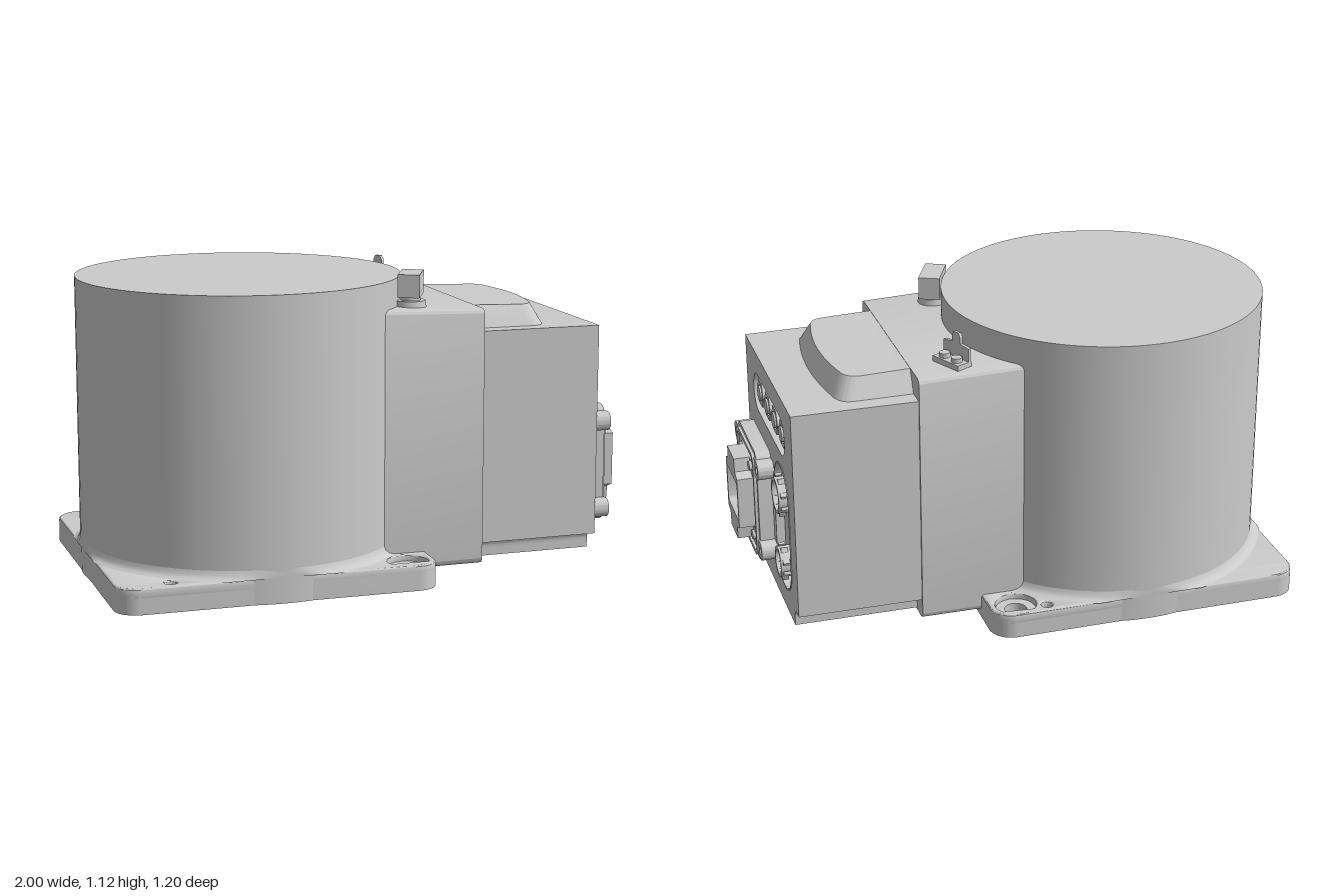
import * as THREE from 'three';
import { toCreasedNormals } from 'three/addons/utils/BufferGeometryUtils.js';

const mat = new THREE.MeshStandardMaterial({ color: 0xcccccc, side: THREE.DoubleSide });

// Rounded rectangle outline centred on (cx, cy)
function roundRect(cx, cy, w, h, r, Type = THREE.Shape) {
  const s = new Type(), a = w / 2 - r, b = h / 2 - r;
  s.absarc(cx + a, cy + b, r, 0, Math.PI / 2);
  s.absarc(cx - a, cy + b, r, Math.PI / 2, Math.PI);
  s.absarc(cx - a, cy - b, r, Math.PI, Math.PI * 1.5);
  s.absarc(cx + a, cy - b, r, Math.PI * 1.5, Math.PI * 2);
  s.closePath();
  return s;
}
function circle(cx, cy, r, Type = THREE.Path) {
  return new Type().absarc(cx, cy, r, 0, Math.PI * 2);
}
const polygon = (pts) => new THREE.Shape(pts.map(([x, y]) => new THREE.Vector2(x, y)));

export function createModel() {
  const model = new THREE.Group();
  const add = (geo, name, parent = model) => {
    const mesh = new THREE.Mesh(geo, mat);
    mesh.name = name;
    parent.add(mesh);
    return mesh;
  };
  const extrude = (shape, depth, bevel = 0) => {
    const g = new THREE.ExtrudeGeometry(shape, {
      depth: depth - 2 * bevel, bevelEnabled: bevel > 0, bevelSize: bevel,
      bevelThickness: bevel, bevelOffset: -bevel, bevelSegments: 3, curveSegments: 14,
    });
    return g.translate(0, 0, bevel);
  };
  // Section drawn in (-z, y), extruded along x
  const alongX = (shape, x0, x1, bevel = 0) =>
    toCreasedNormals(extrude(shape, x1 - x0, bevel).rotateY(Math.PI / 2).translate(x0, 0, 0), 0.5);
  // Outline drawn in (x, -z), extruded upward
  const alongY = (shape, y0, y1, bevel = 0) =>
    toCreasedNormals(extrude(shape, y1 - y0, bevel).rotateX(-Math.PI / 2).translate(0, y0, 0), 0.5);
  // Slight draft of the housing toward its end
  const draft = (geo) => {
    const p = geo.attributes.position;
    for (let i = 0; i < p.count; i++) {
      const x = p.getX(i);
      p.setZ(i, p.getZ(i) * (1 - (x - 0.42) * 0.035));
      if (x < 0.42 && p.getY(i) > 0.5) p.setY(i, p.getY(i) + (0.42 - x) * 0.03);
    }
    return geo;
  };

  // Motor drum
  add(new THREE.CylinderGeometry(0.6, 0.6, 1.1, 96).translate(-0.4, 0.55, 0), 'drum');

  // Base plate: through holes below, counterbores above
  const bolts = [[-0.9, 0.505], [-0.9, -0.505], [0.093, 0.505], [0.093, -0.505]];
  const pins = [[-0.795, -0.535], [-0.015, 0.545]];
  const plate = (boltRadius) => {
    const s = roundRect(-0.4, 0, 1.19, 1.18, 0.085);
    bolts.forEach(([x, y]) => s.holes.push(circle(x, y, boltRadius)));
    pins.forEach(([x, y]) => s.holes.push(circle(x, y, 0.021)));
    return s;
  };
  add(alongY(plate(0.041), 0, 0.07), 'basePlate');
  add(alongY(plate(0.075), 0.05, 0.095, 0.01), 'basePlateTop');

  // Fillet where drum meets plate, trimmed to the plate edge
  const fillet = new THREE.LatheGeometry(
    [[0.635, 0.094], [0.615, 0.1], [0.604, 0.112], [0.599, 0.13]].map(([x, y]) => new THREE.Vector2(x, y)), 96);
  const fp = fillet.attributes.position;
  for (let i = 0; i < fp.count; i++) {
    fp.setX(i, Math.max(fp.getX(i), -0.6));
    fp.setZ(i, THREE.MathUtils.clamp(fp.getZ(i), -0.6, 0.6));
  }
  fillet.translate(-0.4, 0, 0).computeVertexNormals();
  add(fillet, 'drumFillet');

  // Housing neck next to the drum
  add(draft(alongX(roundRect(0, 0.507, 0.816, 0.957, 0.025), -0.1, 0.42)), 'housingNeck');

  // Housing end with notched lower corners
  const section = () => {
    const s = new THREE.Shape();
    s.moveTo(0.4, 0.902);
    s.lineTo(-0.4, 0.902);
    s.lineTo(-0.4, 0.106);
    s.lineTo(-0.37, 0.106);
    s.quadraticCurveTo(-0.33, 0.106, -0.33, 0.066);
    s.lineTo(-0.33, 0.037);
    s.lineTo(0.33, 0.037);
    s.lineTo(0.33, 0.066);
    s.quadraticCurveTo(0.33, 0.106, 0.37, 0.106);
    s.lineTo(0.4, 0.106);
    s.closePath();
    return s;
  };
  add(draft(alongX(section(), 0.4, 0.85)), 'housingEnd');
  const face = section();
  face.holes.push(roundRect(0, 0.745, 0.545, 0.15, 0.0745, THREE.Path));
  face.holes.push(roundRect(0.178, 0.37, 0.235, 0.49, 0.117, THREE.Path));
  add(draft(alongX(face, 0.85, 0.88)), 'housingFace');
  const lip = roundRect(0.178, 0.37, 0.247, 0.502, 0.123);
  lip.holes.push(roundRect(0.178, 0.37, 0.235, 0.49, 0.117, THREE.Path));
  add(alongX(lip, 0.86, 0.883), 'socketPocketLip');

  // Raised hump on top with sloping sides
  const hump = new THREE.Shape();
  hump.moveTo(0.41, -0.335);
  hump.lineTo(0.64, -0.335);
  hump.quadraticCurveTo(0.695, -0.335, 0.705, -0.26);
  hump.quadraticCurveTo(0.755, 0, 0.705, 0.26);
  hump.quadraticCurveTo(0.695, 0.335, 0.64, 0.335);
  hump.lineTo(0.41, 0.335);
  hump.closePath();
  const humpGeo = alongY(hump, 0.895, 0.984);
  const hp = humpGeo.attributes.position;
  for (let i = 0; i < hp.count; i++) {
    if (hp.getY(i) < 0.95) continue;
    hp.setZ(i, hp.getZ(i) * 0.86);
    if (hp.getX(i) > 0.5) hp.setXYZ(i, hp.getX(i) - 0.04, 0.978, hp.getZ(i));
  }
  add(toCreasedNormals(humpGeo, 0.5), 'topHump');

  // Row of four hex fittings
  for (let i = 0; i < 4; i++) {
    const u = -0.189 + i * 0.126;
    const hex = polygon([0, 1, 2, 3, 4, 5].map((k) =>
      [u + 0.055 * Math.cos(k * Math.PI / 3), 0.745 + 0.055 * Math.sin(k * Math.PI / 3)]));
    hex.holes.push(circle(u, 0.745, 0.034));
    add(alongX(hex, 0.845, 0.872), 'hexFitting');
    add(alongX(circle(u, 0.745, 0.029, THREE.Shape), 0.845, 0.878), 'hexFittingPlug');
  }

  // Two round sockets with keyed rims
  for (const [y, r] of [[0.5, 0.068], [0.228, 0.058]]) {
    const ring = circle(0.178, y, r, THREE.Shape);
    ring.holes.push(circle(0.178, y, r - 0.012));
    add(alongX(ring, 0.845, 0.905), 'roundSocket');
    add(alongX(circle(0.178, y, r - 0.012, THREE.Shape), 0.845, 0.862), 'roundSocketFloor');
    for (let k = 0; k < 8; k++) {
      const a = (k + 0.5) * Math.PI / 4;
      const key = add(new THREE.BoxGeometry(0.025, 0.012, 0.024), 'socketKey');
      key.position.set(0.885, y + Math.sin(a) * r, -0.178 - Math.cos(a) * r);
      key.rotation.x = -a;
    }
  }

  // Rectangular connector: flange with screw ears, shell, core and contacts
  const connector = new THREE.Group();
  connector.name = 'mainConnector';
  model.add(connector);
  const cu = -0.168, cy = 0.363;
  const frame = (w, h, r, w2, h2, r2) => {
    const s = roundRect(cu, cy, w, h, r);
    s.holes.push(roundRect(cu, cy, w2, h2, r2, THREE.Path));
    return s;
  };
  add(alongX(frame(0.345, 0.446, 0.04, 0.265, 0.37, 0.03), 0.87, 0.935), 'flange', connector);
  add(alongX(frame(0.315, 0.42, 0.04, 0.285, 0.39, 0.035), 0.92, 0.946), 'shellRim', connector);
  add(alongX(roundRect(cu, cy, 0.28, 0.38, 0.03), 0.87, 0.888), 'shellFloor', connector);
  for (const su of [-1, 1]) for (const sv of [-1, 1]) {
    const u = cu + su * 0.187, v = cy + sv * 0.167;
    const ear = roundRect(u - su * 0.018, v, 0.098, 0.07, 0.03);
    ear.holes.push(circle(u, v, 0.015));
    // Ears stop short of the shell opening
    add(alongX(ear, 0.87, 0.94).translate(0, 0, -su * 0.002), 'screwEar', connector);
    const cu2 = cu + su * 0.089, cv2 = cy + sv * 0.144;
    add(alongX(circle(cu2, cv2, 0.018, THREE.Shape), 0.88, 0.95), 'coreScrew', connector);
  }
  // Core outline with stepped corners around the screws
  const quarter = [[0.108, 0.1], [0.068, 0.115], [0.062, 0.166]];
  const flip = (su, sv, list) => list.map(([u, v]) => [cu + su * u, cy + sv * v]);
  const back = [...quarter].reverse();
  const core = polygon([...flip(1, 1, quarter), ...flip(-1, 1, back),
    ...flip(-1, -1, quarter), ...flip(1, -1, back)]);
  core.holes.push(roundRect(cu, cy, 0.19, 0.15, 0.015, THREE.Path));
  add(alongX(core, 0.88, 1.0), 'core', connector);
  add(alongX(roundRect(cu, cy, 0.212, 0.33, 0.015), 0.88, 0.94), 'coreBase', connector);
  for (let i = 0; i < 5; i++) for (let j = 0; j < 4; j++) {
    const pin = new THREE.CylinderGeometry(0.012, 0.012, 0.03, 12).rotateZ(Math.PI / 2);
    add(pin.translate(0.945, cy - 0.045 + j * 0.03, -cu - 0.062 + i * 0.031), 'contact', connector);
  }

  // Latch block on a short post
  const latch = new THREE.Group();
  latch.name = 'latch';
  latch.position.set(0.175, 0, 0.287);
  latch.rotation.y = -0.44;
  model.add(latch);
  add(new THREE.BoxGeometry(0.08, 0.085, 0.155).translate(0, 1.073, 0), 'latchBlock', latch);
  add(new THREE.CylinderGeometry(0.037, 0.037, 0.08, 24).translate(0, 1.01, 0.01), 'latchPost', latch);
  add(new THREE.CylinderGeometry(0.055, 0.06, 0.03, 24).translate(0, 1.0, 0.01), 'latchBoss', latch);

  // Small bracket with two screws and an upright tab
  const bracket = new THREE.Group();
  bracket.name = 'bracket';
  bracket.position.set(0.27, 0, -0.305);
  bracket.rotation.y = 0.44;
  model.add(bracket);
  add(new THREE.BoxGeometry(0.064, 0.022, 0.135).translate(0, 0.999, 0), 'bracketFoot', bracket);
  const tab = polygon([[-0.067, 0.99], [0.067, 0.99], [0.067, 1.06], [0.022, 1.065],
    [0.022, 1.09], [0.012, 1.105], [-0.012, 1.105], [-0.022, 1.09], [-0.022, 1.065], [-0.067, 1.06]]);
  add(alongX(tab, -0.032, -0.02), 'bracketTab', bracket);
  for (const z of [-0.032, 0.032])
    add(new THREE.CylinderGeometry(0.02, 0.02, 0.03, 16).translate(0.006, 1.012, z), 'bracketScrew', bracket);

  return model;
}
